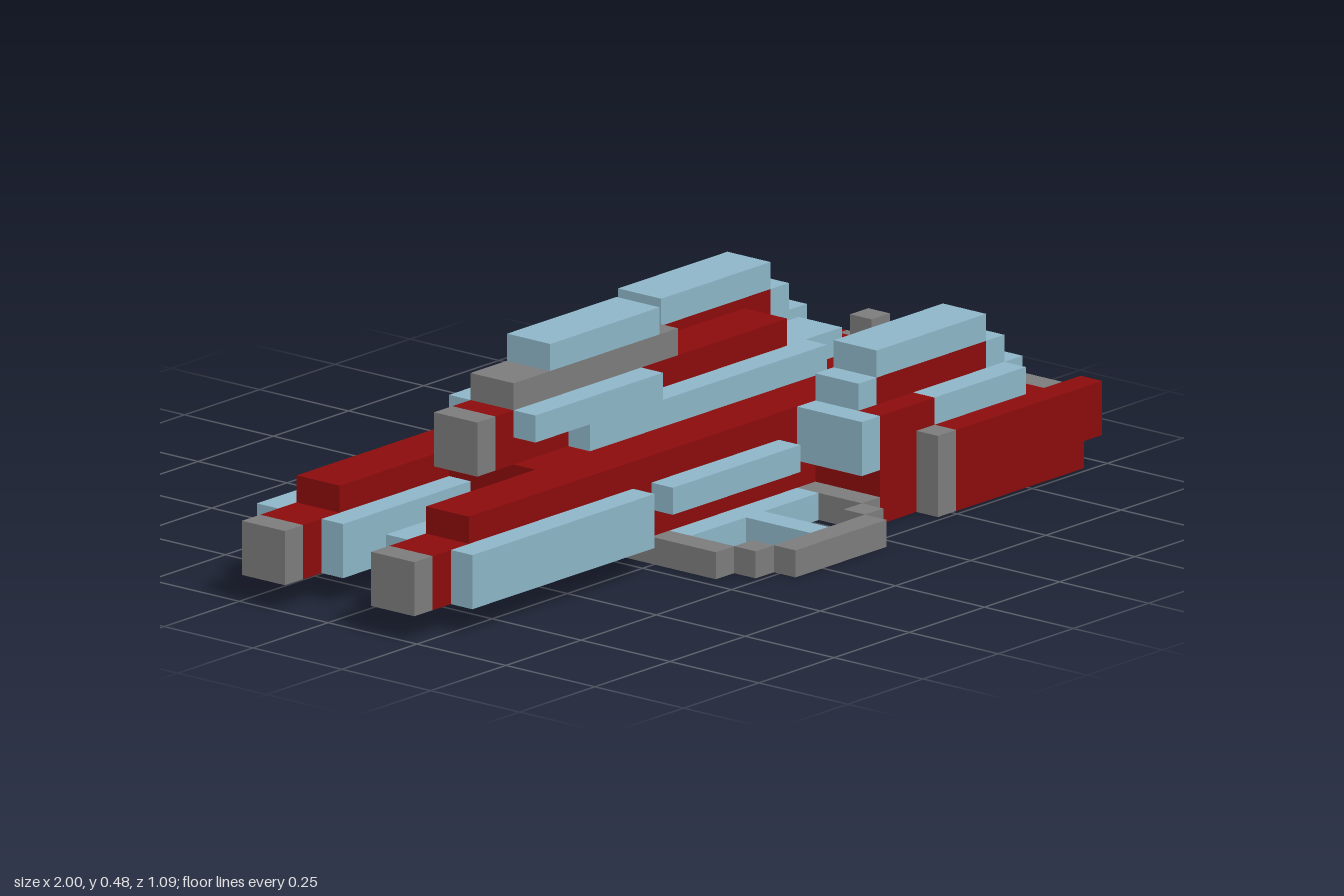
import * as THREE from 'three';

const U = 2 / 33; // block size

export function createModel() {
  const model = new THREE.Group();
  model.name = 'blockSpaceship';
  const material = (name, color) => {
    const m = new THREE.MeshStandardMaterial({ color });
    m.name = name;
    return m;
  };
  const blue = material('paleBlue', 0x8db6c8);
  const red = material('darkRed', 0x8b0b0b);
  const gray = material('gray', 0x7c7c7c);

  // Block spanning grid cells: x from the nose, y from the ground, z from the middle
  function block(name, mat, x0, x1, y0, y1, z0, z1) {
    const g = new THREE.BoxGeometry((x1 - x0) * U, (y1 - y0) * U, (z1 - z0) * U);
    const m = new THREE.Mesh(g, mat);
    m.position.set(((x0 + x1) / 2) * U - 1, ((y0 + y1) / 2) * U, ((z0 + z1) / 2) * U);
    m.name = name;
    model.add(m);
  }
  const mid = (name, mat, x0, x1, y0, y1, h) => block(name, mat, x0, x1, y0, y1, -h, h);
  function pair(name, mat, x0, x1, y0, y1, z0, z1) {
    block(name + 'Left', mat, x0, x1, y0, y1, z0, z1);
    block(name + 'Right', mat, x0, x1, y0, y1, -z1, -z0);
  }

  // Twin forward prongs with side plates
  pair('prongTip', gray, 0, 1, 1, 3, 2, 4);
  pair('prong', red, 1, 25, 1, 3, 2, 4);
  pair('prongTop', red, 3, 25, 3, 4, 2, 4);
  pair('prongOuterPlate', blue, 2, 12, 1, 3, 4, 5);
  pair('prongInnerPlate', blue, 2, 12, 1, 3, 1, 2);
  pair('sideRail', blue, 13, 20, 2, 3, 4, 5);

  // Central spine, lower nose gun and raised cockpit
  mid('lowerGunTip', gray, 8, 9, 0, 1, 1);
  mid('lowerGun', red, 9, 13, 0, 1, 1);
  mid('keelFront', red, 9, 13, 1, 3, 1);
  mid('keel', red, 13, 22, 1, 3, 2);
  mid('spineBase', red, 9, 27, 3, 4, 2);
  mid('noseTip', gray, 7, 8, 4, 6, 1);
  mid('noseLower', red, 8, 12, 4, 5, 1);
  mid('spine', blue, 12, 25, 4, 5, 2);
  mid('spineTail', blue, 25, 27, 4, 5, 1);
  mid('ridge', red, 8, 24, 5, 6, 1);
  pair('ridgePlate', blue, 9, 16, 5, 6, 1, 2);
  mid('cockpitBase', gray, 9, 18, 6, 7, 1);
  mid('cockpitRoof', blue, 11, 17, 7, 8, 1);

  // Ring landing discs: rim and crossed spokes
  pair('ringOuter', gray, 15, 20, 0, 1, 8, 9);
  pair('ringInner', gray, 15, 20, 0, 1, 0, 1);
  for (const x of [14, 20]) {
    pair('ringCornerOuter', gray, x, x + 1, 0, 1, 7, 8);
    pair('ringCornerInner', gray, x, x + 1, 0, 1, 1, 2);
  }
  for (const x of [13, 21]) pair('ringEnd', gray, x, x + 1, 0, 1, 2, 7);
  pair('spoke', blue, 17, 18, 0, 1, 1, 8);
  pair('spokeFront', blue, 14, 17, 0, 1, 4, 5);
  pair('spokeBack', blue, 18, 21, 0, 1, 4, 5);

  // Rear hull
  mid('rearFloor', red, 22, 31, 0, 2, 7);
  pair('rearWall', red, 22, 31, 2, 3, 4, 7);
  pair('shoulderFront', blue, 21, 22, 2, 4, 4, 7);
  pair('shoulder', red, 22, 25, 3, 4, 4, 7);
  pair('wallTop', blue, 25, 31, 3, 4, 4, 6);
  pair('wallLedge', blue, 25, 30, 3, 4, 6, 7);
  pair('deckStep', blue, 25, 27, 3, 4, 2, 4);
  pair('deckUnder', red, 25, 27, 2, 3, 2, 4);
  mid('deckBlock', red, 27, 29, 2, 4, 2);
  mid('deckStrip', blue, 29, 30, 2, 3, 2);

  // Raised side pods
  pair('podFoot', blue, 22, 23, 4, 5, 4, 6);
  pair('podBody', red, 23, 29, 4, 5, 4, 6);
  pair('podHeel', blue, 29, 30, 4, 5, 4, 6);
  pair('podRoof', blue, 23, 29, 5, 6, 4, 6);

  // Outer armour
  pair('armourEdge', gray, 24, 25, 0, 3, 7, 8);
  pair('armour', red, 25, 32, 0, 3, 7, 8);
  pair('armourTail', red, 32, 33, 1, 3, 7, 8);

  // Stern wall and engine frame
  mid('sternBase', red, 31, 32, 0, 1, 7);
  mid('sternCore', red, 31, 32, 1, 2, 1);
  pair('sternPanel', red, 31, 32, 1, 2, 4, 7);
  pair('sternStep', blue, 31, 33, 1, 2, 2, 4);
  pair('sternBumper', blue, 32, 33, 0, 1, 1, 7);
  pair('engineLower', gray, 31, 32, 1, 2, 1, 2);
  mid('engineBar', gray, 31, 32, 2, 3, 3);
  pair('engineUpper', gray, 31, 32, 3, 4, 1, 2);
  pair('sternTrim', red, 31, 32, 2, 3, 3, 5);
  pair('sternCap', gray, 31, 32, 2, 3, 5, 7);

  return model;
}
